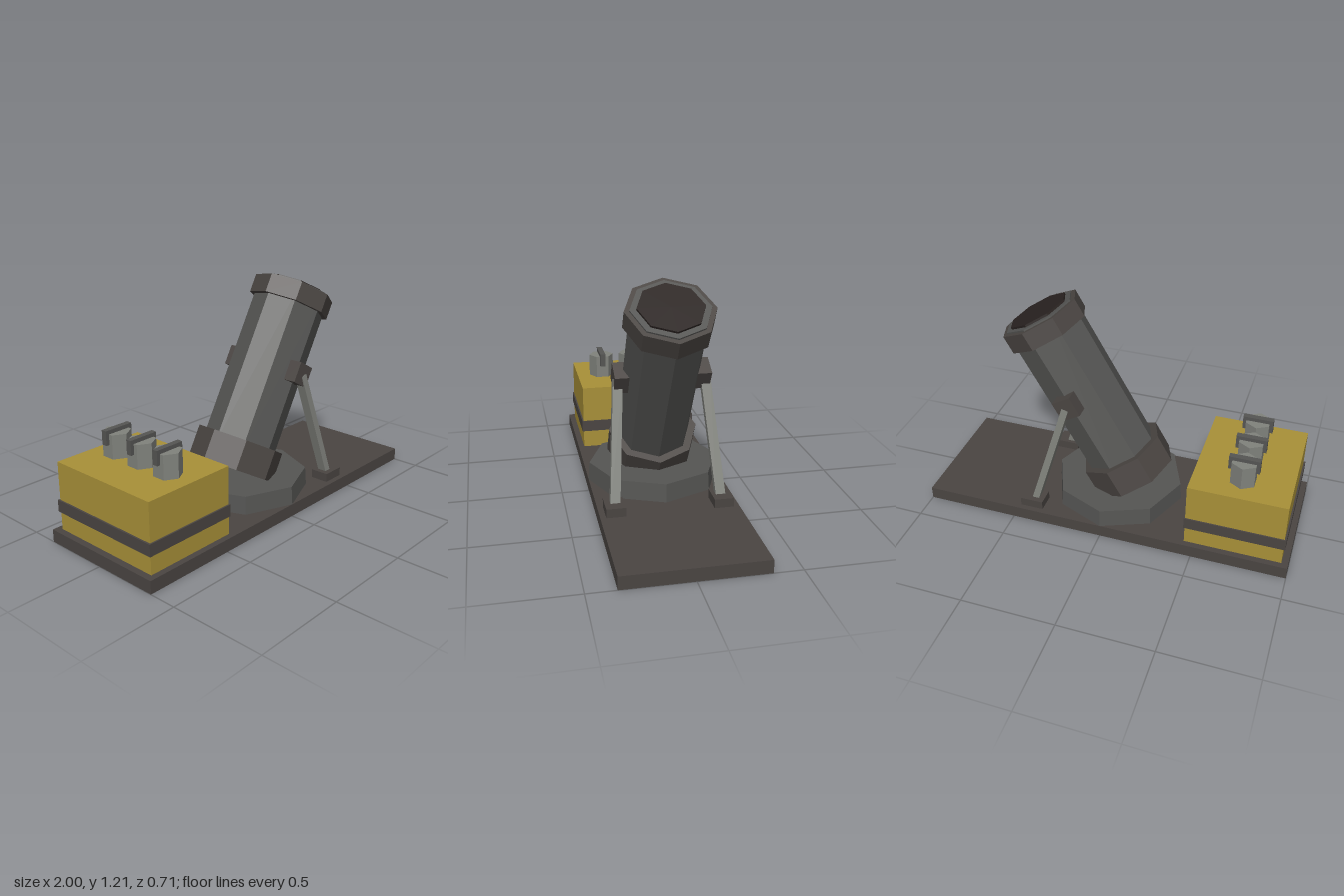
import * as THREE from 'three';

const mat = (color) => new THREE.MeshStandardMaterial({ color, flatShading: true });
const iron = mat(0x555553);
const darkIron = mat(0x4a4542);
const steel = mat(0x80827c);
const soot = mat(0x2a2321);
const wood = mat(0xa89038);

function add(parent, name, geometry, material, x = 0, y = 0, z = 0) {
  const mesh = new THREE.Mesh(geometry, material);
  mesh.name = name;
  mesh.position.set(x, y, z);
  parent.add(mesh);
  return mesh;
}

const box = (w, h, d) => new THREE.BoxGeometry(w, h, d);
const prism = (rTop, rBottom, h, sides) => new THREE.CylinderGeometry(rTop, rBottom, h, sides);

export function createModel() {
  const model = new THREE.Group();
  model.name = 'mortar';

  // Ground plate and octagonal pedestal
  add(model, 'basePlate', box(2, 0.068, 0.71), darkIron, 0, 0.034, 0);
  add(model, 'pedestal', prism(0.348, 0.355, 0.1, 8), iron, 0, 0.116, 0);

  // Barrel assembly, built upright and leaned 30 degrees towards +x
  const barrel = new THREE.Group();
  barrel.name = 'barrel';
  barrel.position.set(-0.005, 0.34, 0);
  barrel.rotation.z = -Math.PI / 6;
  model.add(barrel);
  add(barrel, 'tube', prism(0.197, 0.197, 0.95, 8), iron, 0, 0.405, 0);
  add(barrel, 'breechRing', prism(0.238, 0.238, 0.16, 8), darkIron, 0, -0.08, 0);
  add(barrel, 'muzzleRing', prism(0.223, 0.223, 0.1, 8), darkIron, 0, 0.822, 0);
  add(barrel, 'bore', prism(0.165, 0.165, 0.03, 8), soot, 0, 0.876, 0);

  // Trunnion blocks, struts and feet on both sides
  for (const side of [1, -1]) {
    const block = add(model, 'trunnionBlock', box(0.11, 0.11, 0.075), darkIron, 0.21, 0.705, side * 0.208);
    block.rotation.z = -Math.PI / 6;

    const top = new THREE.Vector3(0.215, 0.7, side * 0.223);
    const bottom = new THREE.Vector3(0.395, 0.09, side * 0.272);
    const along = top.clone().sub(bottom);
    const strut = add(model, 'strut', box(0.036, along.length(), 0.05), steel);
    strut.position.copy(top).add(bottom).multiplyScalar(0.5);
    strut.quaternion.setFromUnitVectors(new THREE.Vector3(0, 1, 0), along.normalize());

    add(model, 'strutFoot', box(0.125, 0.05, 0.1), darkIron, 0.402, 0.09, side * 0.275);
  }

  // Ammunition crate with a metal band
  add(model, 'crate', box(0.51, 0.364, 0.645), wood, -0.71, 0.248, 0);
  add(model, 'crateBand', box(0.525, 0.063, 0.66), darkIron, -0.712, 0.197, 0);

  // Row of hexagonal shells with fins standing on the crate
  for (const z of [-0.178, 0, 0.178]) {
    const shell = new THREE.Group();
    shell.name = 'shell';
    shell.position.set(-0.71, 0.43, z);
    model.add(shell);
    add(shell, 'shellBody', prism(0.071, 0.071, 0.13, 6), steel, 0, 0.06, 0);
    add(shell, 'shellFin', box(0.16, 0.075, 0.03), iron, 0, 0.108, 0);
  }

  return model;
}
